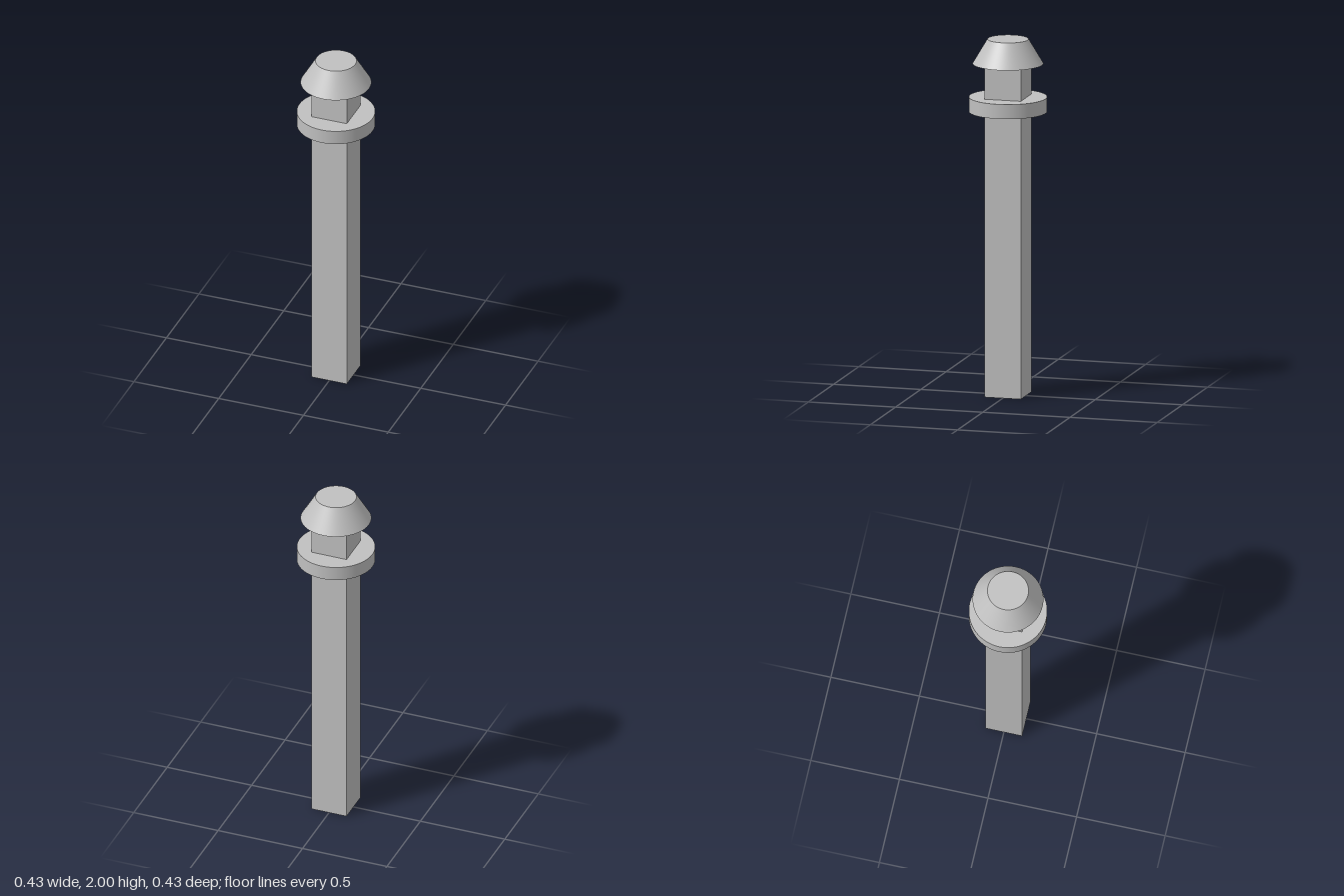
import * as THREE from 'three';

export function createModel() {
  const group = new THREE.Group();
  const grey = new THREE.MeshStandardMaterial({ color: 0xc0c0c0 });
  grey.name = 'light grey';

  // Adds a part spanning the heights y0 to y1
  const add = (name, geometry, y0, y1) => {
    const mesh = new THREE.Mesh(geometry, grey);
    mesh.name = name;
    mesh.position.y = (y0 + y1) / 2;
    group.add(mesh);
  };
  const round = (name, topRadius, bottomRadius, y0, y1) =>
    add(name, new THREE.CylinderGeometry(topRadius, bottomRadius, y1 - y0, 96), y0, y1);

  const collarBottom = 1.593, collarTop = 1.675, headBottom = 1.862, height = 2;

  // Square shaft, split where the collar sits
  const width = 0.207;
  const shaft = (name, y0, y1) => add(name, new THREE.BoxGeometry(width, y1 - y0, width), y0, y1);
  shaft('shaft', 0, collarBottom);
  shaft('neck', collarTop, headBottom);

  // Round collar and tapered head
  round('collar', 0.216, 0.216, collarBottom, collarTop);
  round('head', 0.113, 0.195, headBottom, height);

  return group;
}
